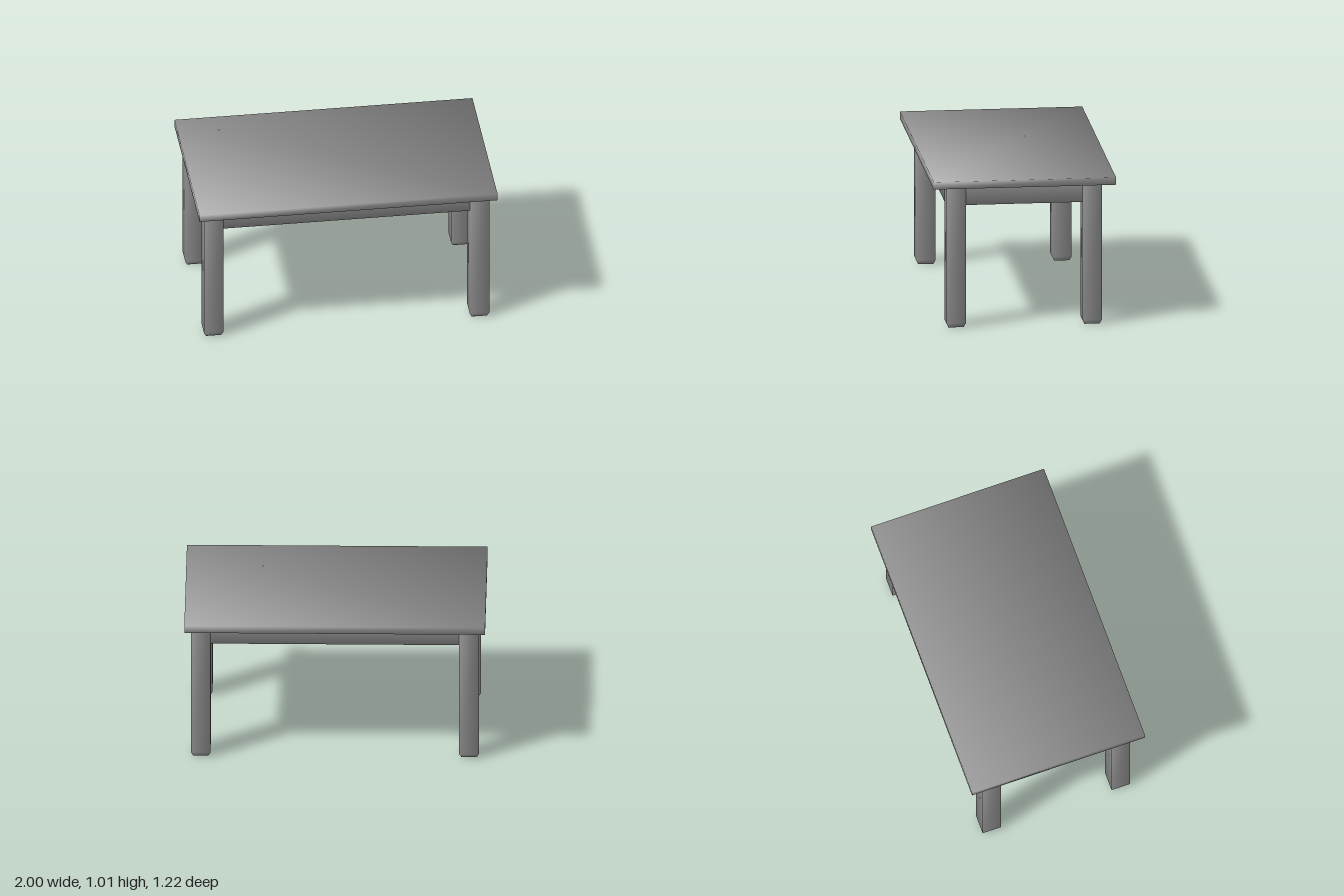
import * as THREE from 'three';

const TOP_Y = 1.01, FRAME_Y = 0.96, PANEL_Y = 0.882, APRON_Y = 0.838, FOOT_Y = 0.03;
const LEG_X = 0.892, LEG_Z = 0.455, LEG_HALF = 0.065;
const INNER_X = LEG_X - LEG_HALF, INNER_Z = LEG_Z - LEG_HALF;
const CORNERS = [[-1, -1], [-1, 1], [1, 1], [1, -1]];

// Closed block from rectangular rows, bottom to top: [y, halfWidth, halfDepth, tilt].
// Corners are shared for soft edges; tilt leans a row's normals down or up,
// and roundX / roundZ say whether they also lean outwards along x and z.
function softBlock(rows, roundX = 1, roundZ = 1) {
  const positions = [], normals = [], index = [];
  const last = rows.length - 1;
  rows.forEach(([y, halfX, halfZ, tilt], r) => {
    CORNERS.forEach(([sx, sz], k) => {
      positions.push(sx * halfX, y, sz * halfZ);
      normals.push(...new THREE.Vector3(sx * roundX, tilt, sz * roundZ).normalize().toArray());
      if (r === last) return;
      const a = r * 4 + k, b = r * 4 + (k + 1) % 4;
      index.push(a, b, b + 4, a, b + 4, a + 4);
    });
  });
  const t = last * 4;
  index.push(3, 2, 1, 3, 1, 0, t, t + 1, t + 2, t, t + 2, t + 3);

  const geometry = new THREE.BufferGeometry();
  geometry.setAttribute('position', new THREE.Float32BufferAttribute(positions, 3));
  geometry.setAttribute('normal', new THREE.Float32BufferAttribute(normals, 3));
  geometry.setIndex(index);
  return geometry;
}

export function createModel() {
  const group = new THREE.Group();
  group.name = 'table';
  const material = new THREE.MeshStandardMaterial({ color: 0x999999 });
  const add = (name, geometry, x = 0, z = 0) => {
    const mesh = new THREE.Mesh(geometry, material);
    mesh.name = name;
    mesh.position.set(x, 0, z);
    group.add(mesh);
  };

  // Plain slab with softly shaded edges
  add('tableTop', softBlock([[FRAME_Y, 1, 0.61, -1], [TOP_Y, 1, 0.61, 1]]));

  // Panel under the top, leaving a shallow recess inside the aprons
  add('underPanel', softBlock([[PANEL_Y, INNER_X, INNER_Z, -1], [FRAME_Y, INNER_X, INNER_Z, 1]]));

  // Apron rails between the legs, as thick as the legs and flush with them
  const longRail = softBlock(
    [[APRON_Y, INNER_X, LEG_HALF, -1], [FRAME_Y, INNER_X, LEG_HALF, 0]], 0, 1);
  const shortRail = softBlock(
    [[APRON_Y, LEG_HALF, INNER_Z, -1], [FRAME_Y, LEG_HALF, INNER_Z, 0]], 1, 0);
  add('frontApron', longRail, 0, LEG_Z);
  add('backApron', longRail, 0, -LEG_Z);
  add('leftApron', shortRail, LEG_X, 0);
  add('rightApron', shortRail, -LEG_X, 0);

  // Square legs whose feet narrow at the floor
  const foot = LEG_HALF - 0.014;
  const leg = softBlock([
    [0, foot, foot, -2], [FOOT_Y, LEG_HALF, LEG_HALF, -0.44], [FRAME_Y, LEG_HALF, LEG_HALF, 0],
  ]);
  for (const [sx, sz] of CORNERS) {
    add(`${sz > 0 ? 'front' : 'back'}${sx > 0 ? 'Left' : 'Right'}Leg`, leg, sx * LEG_X, sz * LEG_Z);
  }

  return group;
}
